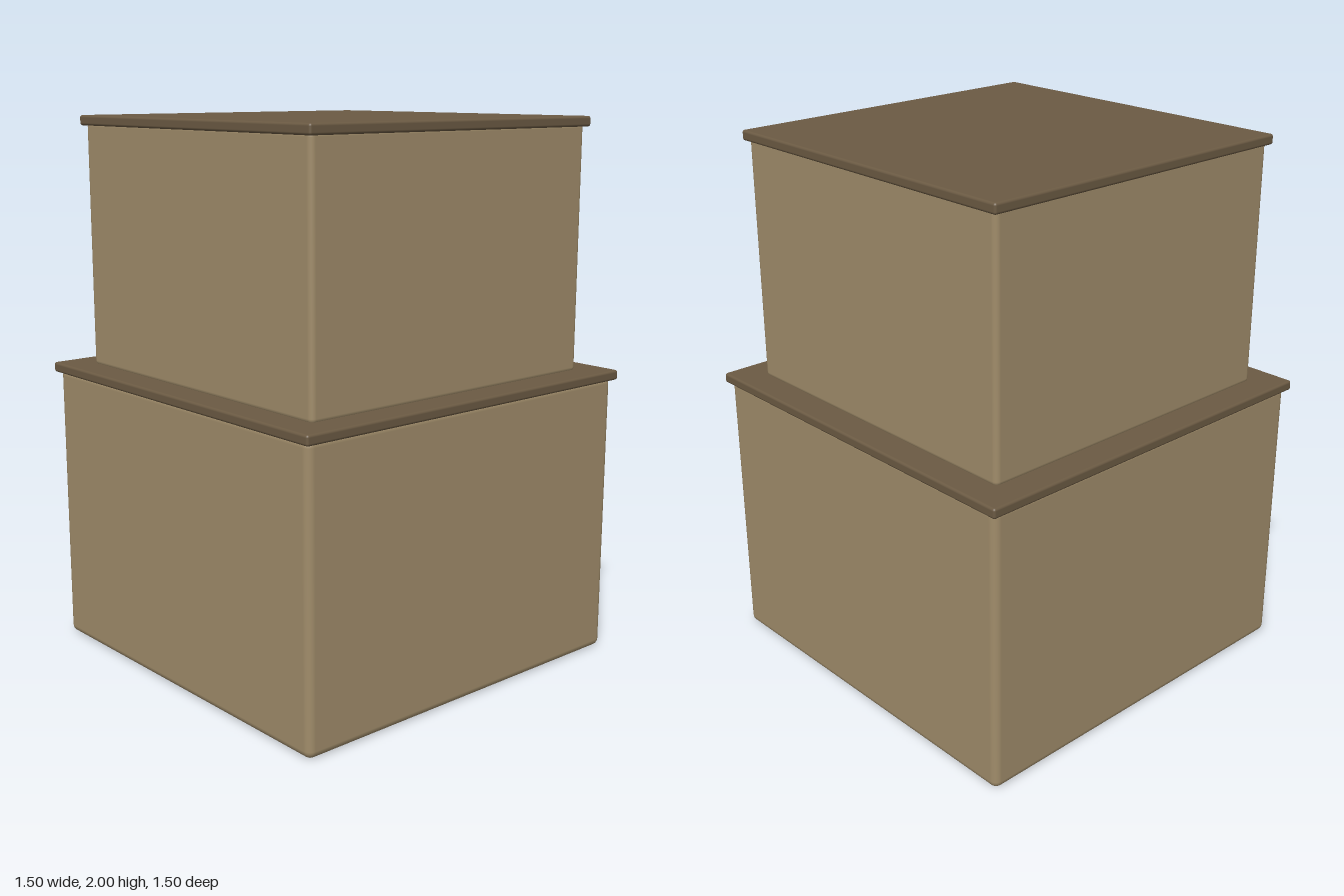
import * as THREE from 'three';
import { RoundedBoxGeometry } from 'three/addons/geometries/RoundedBoxGeometry.js';

const cardboard = new THREE.MeshStandardMaterial({ color: 0xa08c6a });
const darkCardboard = new THREE.MeshStandardMaterial({ color: 0x6b5a43 });

// Square block with softened edges, spanning bottom to top
function block(name, width, bottom, top, radius, material) {
  const geometry = new RoundedBoxGeometry(width, top - bottom, width, 3, radius);
  const mesh = new THREE.Mesh(geometry, material);
  mesh.name = name;
  mesh.position.y = (bottom + top) / 2;
  return mesh;
}

// Box whose top edge is tucked up inside an overhanging lid
function liddedBox(name, { width, lidWidth, bottom, rim, top, radius }) {
  const group = new THREE.Group();
  group.name = name;
  group.add(
    block('boxBody', width, bottom, rim + 0.015, radius, cardboard),
    block('boxLid', lidWidth, rim, top, 0.009, darkCardboard)
  );
  return group;
}

export function createModel() {
  const model = new THREE.Group();
  model.name = 'stackedBoxes';
  model.add(
    liddedBox('lowerBox', { width: 1.464, lidWidth: 1.496, bottom: 0, rim: 1.043, top: 1.08, radius: 0.028 }),
    liddedBox('upperBox', { width: 1.276, lidWidth: 1.308, bottom: 1.07, rim: 1.963, top: 2, radius: 0.02 })
  );
  return model;
}
